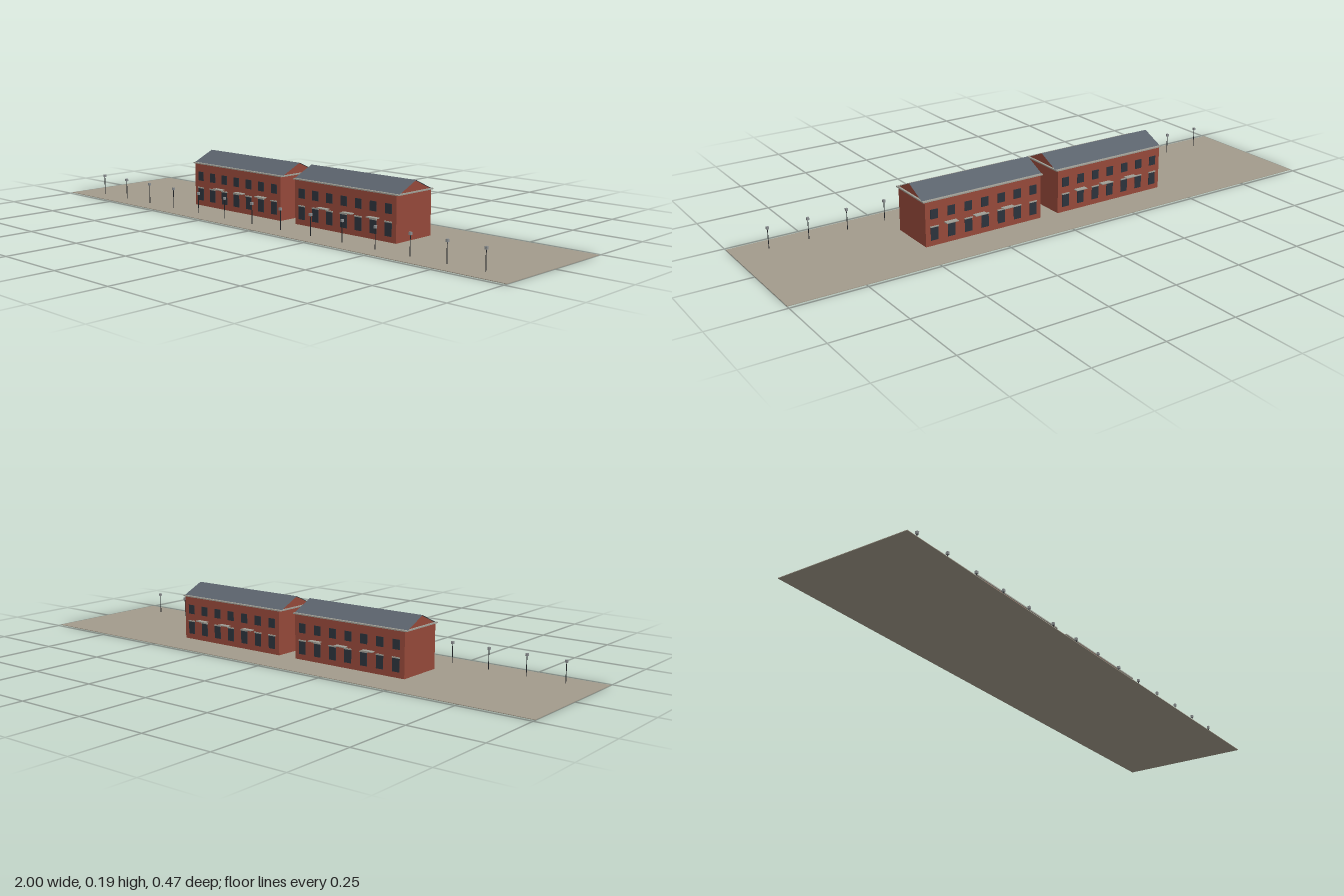
import * as THREE from 'three';

const mat = (name, color, extra = {}) => {
  const m = new THREE.MeshStandardMaterial({ color, ...extra });
  m.name = name;
  return m;
};

export function createModel() {
  const paving = mat('paving', 0xa39b8c);
  const brick = mat('brick', 0x96493a);
  const slate = mat('slate', 0x5a626b, { side: THREE.DoubleSide });
  const stone = mat('stone', 0xa09f96);
  const glass = mat('glass', 0x2c333c);
  const iron = mat('iron', 0x222528);
  const lampGrey = mat('lampGrey', 0x8c9092);

  const root = new THREE.Group();
  root.name = 'terraceStreet';

  const box = (parent, name, m, w, h, d, x, y, z) => {
    const mesh = new THREE.Mesh(new THREE.BoxGeometry(w, h, d), m);
    mesh.name = name;
    mesh.position.set(x, y, z);
    parent.add(mesh);
    return mesh;
  };

  box(root, 'ground', paving, 2, 0.002, 0.475, 0, 0.001, 0);

  const W = 0.438, D = 0.171, roofW = 0.452;
  const eaveY = 0.157, ridgeY = 0.193, roofHalf = 0.079;

  function terrace() {
    const g = new THREE.Group();
    box(g, 'walls', brick, W, 0.152, D, 0, 0.077, 0);
    box(g, 'cornice', stone, roofW, 0.004, 0.177, 0, 0.155, 0);

    // Brick triangle filling the roof space, set in from the roof overhang
    const tri = new THREE.Shape();
    tri.moveTo(-roofHalf + 0.001, eaveY);
    tri.lineTo(roofHalf - 0.001, eaveY);
    tri.lineTo(0, ridgeY - 0.0007);
    tri.closePath();
    const gableGeo = new THREE.ExtrudeGeometry(tri, { depth: W, bevelEnabled: false });
    gableGeo.translate(0, 0, -W / 2).rotateY(Math.PI / 2);
    const gable = new THREE.Mesh(gableGeo, brick);
    gable.name = 'gables';
    g.add(gable);

    // Two thin slate slopes
    const rise = ridgeY - eaveY;
    const slopeLength = Math.hypot(rise, roofHalf);
    for (const s of [1, -1]) {
      const geo = new THREE.PlaneGeometry(roofW, slopeLength).rotateX(-Math.PI / 2);
      const slope = new THREE.Mesh(geo, slate);
      slope.name = s > 0 ? 'frontRoof' : 'backRoof';
      slope.position.set(0, (eaveY + ridgeY) / 2, s * roofHalf / 2);
      slope.rotation.x = s * Math.atan2(rise, roofHalf);
      g.add(slope);
    }

    // Windows, lintels and canopies, the same on both long sides
    for (const s of [1, -1]) {
      const face = s * D / 2;
      for (let i = 0; i < 7; i++) {
        const x = (i - 3) * (W / 7);
        box(g, 'upperWindow', glass, 0.027, 0.032, 0.004, x, 0.109, face);
        box(g, 'lowerWindow', glass, 0.027, 0.043, 0.004, x, 0.0425, face);
        box(g, 'lintel', stone, 0.03, 0.004, 0.007, x, 0.067, face);
      }
      for (let i = 0; i < 3; i++) {
        box(g, 'canopy', stone, 0.043, 0.003, 0.018, -0.084 + i * 0.107, 0.0735, face + s * 0.009);
      }
    }
    return g;
  }

  for (const s of [-1, 1]) {
    const t = terrace();
    t.name = s > 0 ? 'leftTerrace' : 'rightTerrace';
    t.position.set(s * 0.254, 0, -0.0165);
    root.add(t);
  }

  // Row of street lamps along the front
  const postGeo = new THREE.CylinderGeometry(0.0013, 0.0013, 0.066, 8);
  for (let i = 0; i < 14; i++) {
    const lamp = new THREE.Group();
    lamp.name = 'streetLamp';
    lamp.position.set((i - 6.5) * 0.136, 0, 0.171);
    const post = new THREE.Mesh(postGeo, iron);
    post.name = 'lampPost';
    post.position.y = 0.035;
    lamp.add(post);
    box(lamp, 'lampHead', lampGrey, 0.008, 0.009, 0.008, 0, 0.0715, 0);
    root.add(lamp);
  }

  return root;
}
